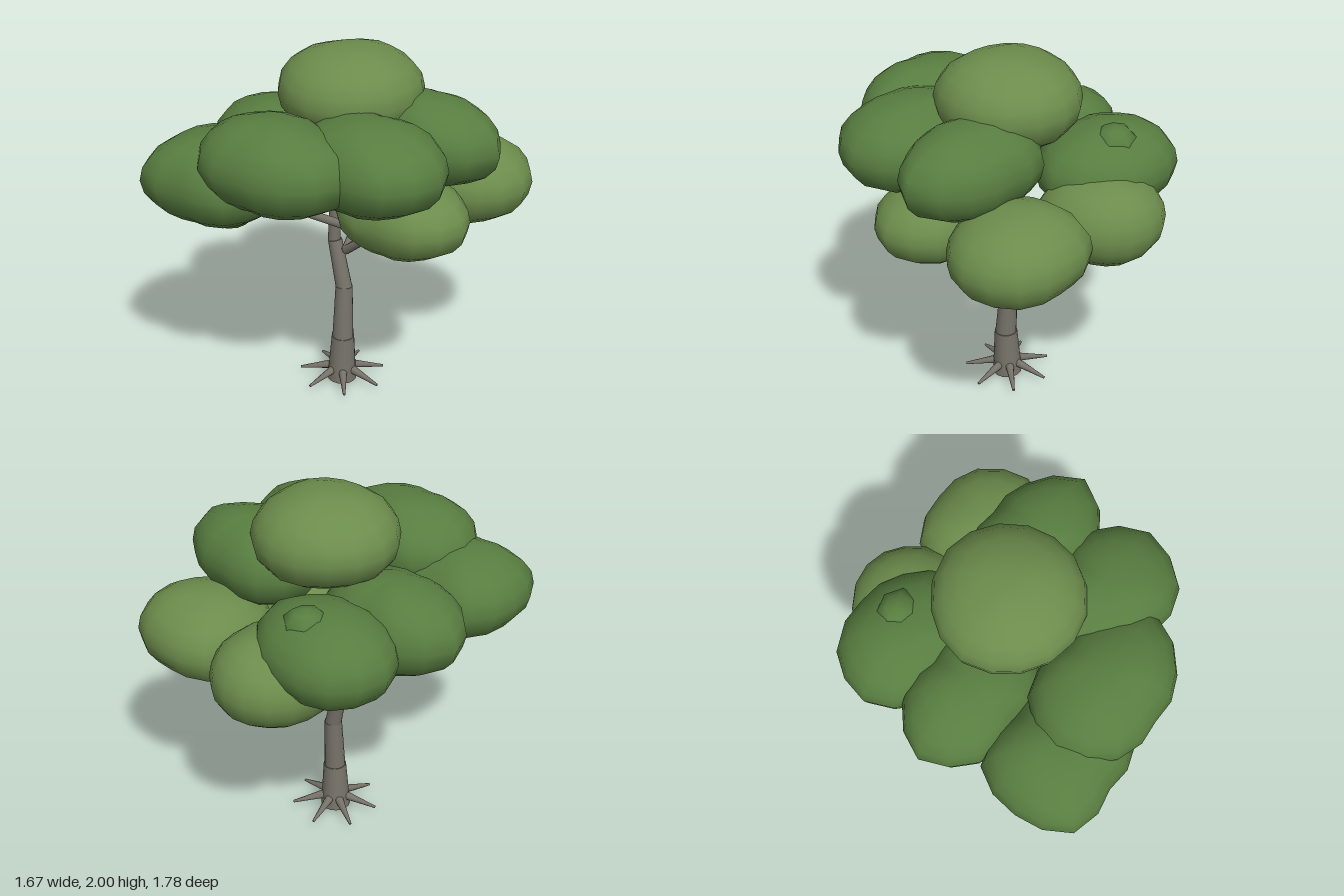
import * as THREE from 'three';
import { mergeVertices } from 'three/addons/utils/BufferGeometryUtils.js';

const bark = new THREE.MeshStandardMaterial({ color: 0x77736a });
const darkLeaf = new THREE.MeshStandardMaterial({ color: 0x587d40 });
const lightLeaf = new THREE.MeshStandardMaterial({ color: 0x6c8c4c });

// Tapered round limb between two points
function limb(name, a, b, r0, r1, sides = 12) {
  const from = new THREE.Vector3(...a), to = new THREE.Vector3(...b);
  const dir = to.clone().sub(from);
  const mesh = new THREE.Mesh(new THREE.CylinderGeometry(r1, r0, dir.length(), sides), bark);
  mesh.position.copy(from).add(to).multiplyScalar(0.5);
  mesh.quaternion.setFromUnitVectors(new THREE.Vector3(0, 1, 0), dir.normalize());
  mesh.name = name;
  return mesh;
}

// Rounded clump of foliage with an irregular plan outline:
// radii are evenly spaced around the vertical axis, from +x towards +z
function foliage(name, [cx, cy, cz], ry, radii, material, cols = 16, rows = 10) {
  const geo = new THREE.SphereGeometry(1, cols, rows);
  const pos = geo.attributes.position;
  const v = new THREE.Vector3();
  const n = radii.length;
  for (let i = 0; i < pos.count; i++) {
    v.fromBufferAttribute(pos, i);
    const angle = Math.atan2(v.z, v.x);
    const t = ((angle / (Math.PI * 2) + 1) * n) % n;
    const k = Math.floor(t);
    const reach = THREE.MathUtils.lerp(radii[k], radii[(k + 1) % n], t - k);
    const r = Math.hypot(v.x, v.z) ** 0.92 * reach;
    const ripple = 1 + 0.04 * Math.sin(3 * angle + cx * 9) * r / reach;
    pos.setXYZ(i, Math.cos(angle) * r, v.y * ry * ripple, Math.sin(angle) * r);
  }
  geo.deleteAttribute('uv');
  geo.deleteAttribute('normal');
  const smooth = mergeVertices(geo, 1e-4);
  smooth.computeVertexNormals();
  const mesh = new THREE.Mesh(smooth, material);
  mesh.position.set(cx, cy, cz);
  mesh.name = name;
  return mesh;
}

export function createModel() {
  const tree = new THREE.Group();
  tree.name = 'tree';

  // Trunk in four bent, tapering sections
  const trunk = new THREE.Group();
  trunk.name = 'trunk';
  trunk.add(
    limb('trunkBase', [-0.04, 0.005, 0.01], [-0.03, 0.285, 0.012], 0.083, 0.064, 16),
    limb('trunkLower', [-0.03, 0.28, 0.012], [-0.035, 0.595, -0.006], 0.06, 0.048, 16),
    limb('trunkMiddle', [-0.035, 0.585, -0.006], [-0.1, 0.865, -0.01], 0.046, 0.039, 16),
    limb('trunkUpper', [-0.106, 0.86, -0.01], [-0.075, 1.6, -0.01], 0.035, 0.022, 16),
  );
  tree.add(trunk);

  // Spiky roots around the foot
  const roots = new THREE.Group();
  roots.name = 'roots';
  for (let i = 0; i < 7; i++) {
    const a = i * Math.PI * 2 / 7;
    const c = Math.cos(a), s = Math.sin(a);
    roots.add(limb('root', [-0.04 + 0.05 * c, 0.078, 0.005 + 0.05 * s],
      [-0.04 + 0.245 * c, 0.033, 0.005 + 0.24 * s], 0.026, 0.007, 8));
  }
  tree.add(roots);

  // Branches reaching into the crown
  const branches = new THREE.Group();
  branches.name = 'branches';
  const fork = [-0.025, 0.82, -0.01];
  [
    [fork, [0.33, 1.12, -0.42]],
    [fork, [-0.13, 1.12, -0.46]],
    [fork, [0.32, 1.1, 0.06]],
    [[-0.02, 0.97, -0.01], [-0.36, 1.27, 0.48]],
    [[-0.09, 0.98, -0.01], [-0.3, 1.3, -0.3]],
    [[-0.03, 1.13, 0.0], [-0.04, 1.45, 0.42]],
  ].forEach(([a, b]) => branches.add(limb('branch', a, b, 0.025, 0.018)));
  tree.add(branches);

  // Crown: overlapping clumps as centre, half height, plan outline, colour
  const crown = new THREE.Group();
  crown.name = 'crown';
  [
    ['topClump', [0, 1.76, -0.02], 0.24, [0.38, 0.38, 0.38, 0.38, 0.4, 0.39, 0.4, 0.39], lightLeaf],
    ['frontClump', [-0.03, 1.54, 0.57], 0.24, [0.46, 0.37, 0.31, 0.38, 0.42, 0.38, 0.29, 0.34], darkLeaf],
    ['frontLeftClump', [0.34, 1.54, 0.3], 0.24, [0.44, 0.4, 0.31, 0.37, 0.41, 0.37, 0.28, 0.37], darkLeaf],
    ['leftClump', [0.38, 1.55, -0.14], 0.235, [0.45, 0.33, 0.25, 0.34, 0.4, 0.36, 0.28, 0.34], darkLeaf],
    ['frontRightClump', [-0.4, 1.38, 0.58], 0.235, [0.36, 0.38, 0.3, 0.4, 0.38, 0.4, 0.3, 0.37], darkLeaf],
    ['rightClump', [-0.42, 1.395, 0.03], 0.24, [0.42, 0.37, 0.28, 0.36, 0.42, 0.34, 0.26, 0.34], darkLeaf],
    ['backRightClump', [-0.36, 1.38, -0.38], 0.235, [0.42, 0.36, 0.27, 0.34, 0.4, 0.39, 0.34, 0.36], darkLeaf],
    ['backClump', [-0.14, 1.22, -0.57], 0.235, [0.31, 0.36, 0.31, 0.38, 0.33, 0.32, 0.31, 0.3], lightLeaf],
    ['backLeftClump', [0.41, 1.22, -0.48], 0.235, [0.39, 0.35, 0.32, 0.35, 0.33, 0.37, 0.34, 0.38], lightLeaf],
    ['lowLeftClump', [0.4, 1.195, 0.08], 0.21, [0.38, 0.33, 0.26, 0.33, 0.38, 0.33, 0.26, 0.33], lightLeaf],
  ].forEach((clump) => crown.add(foliage(...clump)));

  // Small tufts poking out of two clumps
  const tuft = [0.14, 0.12, 0.13, 0.13, 0.12, 0.13];
  crown.add(foliage('upperTuft', [-0.32, 1.52, -0.48], 0.12, tuft, darkLeaf, 7, 6));
  crown.add(foliage('lowerTuft', [-0.33, 1.23, 0.57], 0.12, tuft, darkLeaf, 7, 6));
  tree.add(crown);

  return tree;
}
